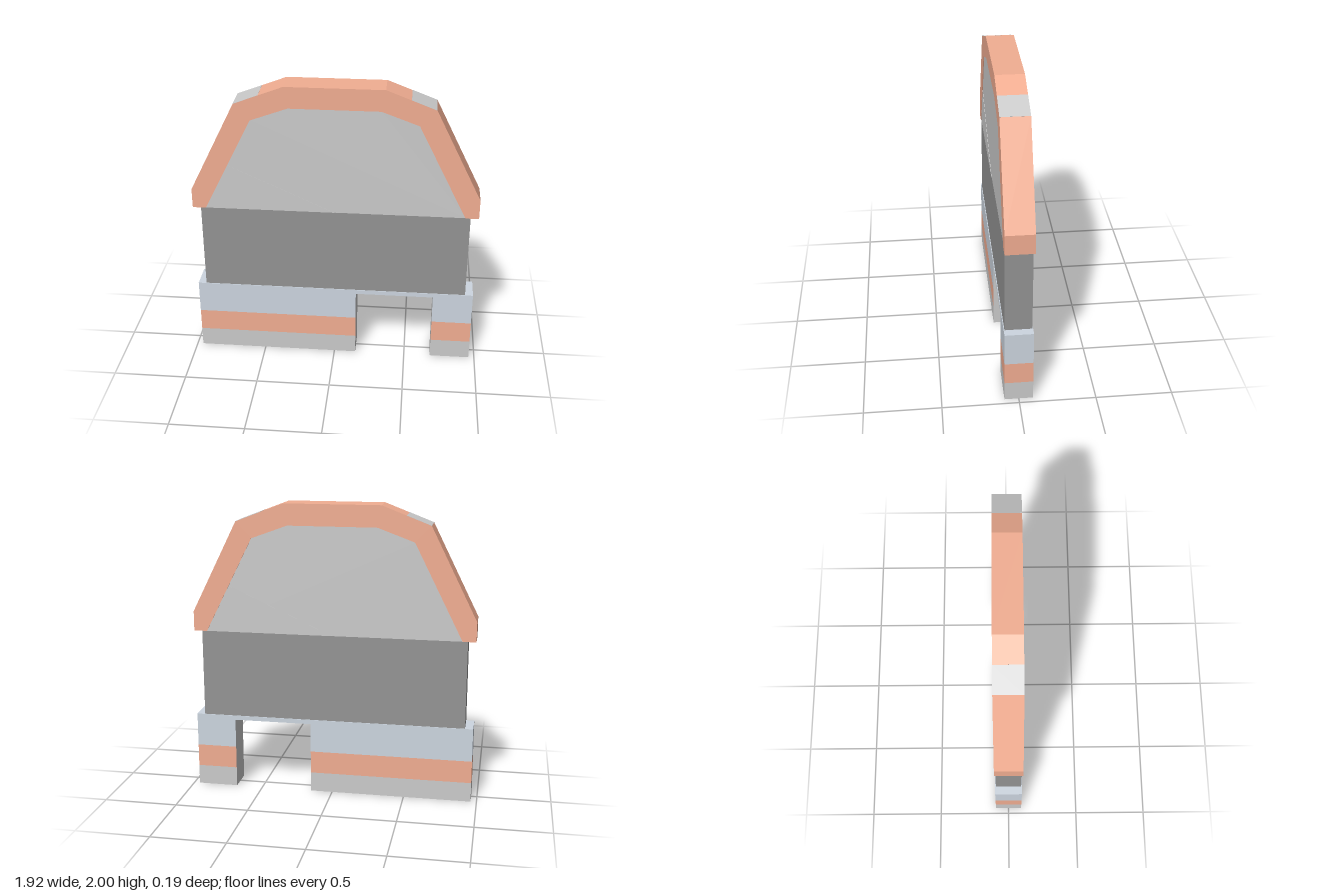
import * as THREE from 'three';

const mat = (color) => new THREE.MeshStandardMaterial({ color });

export function createModel() {
  const model = new THREE.Group();
  const grey = mat(0xcccccc), orange = mat(0xf2ae92), blue = mat(0xcdd6e0), dark = mat(0x949494);
  const HALF = 0.093, INNER = 0.088;

  const add = (name, geometry, material) => {
    const mesh = new THREE.Mesh(geometry, material);
    mesh.name = name;
    model.add(mesh);
    return mesh;
  };
  const block = (name, x0, x1, y0, y1, half, material) =>
    add(name, new THREE.BoxGeometry(x1 - x0, y1 - y0, half * 2), material)
      .position.set((x0 + x1) / 2, (y0 + y1) / 2, 0);
  const slab = (name, points, half, material) => {
    const shape = new THREE.Shape(points.map(([x, y]) => new THREE.Vector2(x, y)));
    const geometry = new THREE.ExtrudeGeometry(shape, { depth: half * 2, bevelEnabled: false });
    return add(name, geometry.translate(0, 0, -half), material);
  };
  // Mirrors a right-hand outline into a full one, running from +x to -x
  const mirrored = (half) => [...half, ...half.map(([x, y]) => [-x, y]).reverse()];

  // Banded base: two piers with plain grey doorway jambs
  const bands = [
    ['baseFoot', 0, 0.135, grey],
    ['baseStripe', 0.135, 0.29, orange],
    ['baseUpper', 0.29, 0.49, blue],
    ['baseTop', 0.49, 0.52, blue],
  ];
  for (const [name, y0, y1, m] of bands) {
    block(name + 'Wide', -0.96, 0.15, y0, y1, HALF, [grey, m, m, m, m, m]);
    block(name + 'Narrow', 0.685, 0.96, y0, y1, HALF, [m, grey, m, m, m, m]);
  }
  // Lintel over the doorway, with a grey underside
  block('doorLintel', 0.15, 0.685, 0.49, 0.52, HALF, [blue, blue, blue, grey, blue, blue]);

  // Dark middle wall
  block('middleWall', -0.905, 0.905, 0.52, 1.12, INNER, dark);

  // Faceted arch trim around a slightly recessed gable panel
  const outer = mirrored([[0.96, 1.12], [0.96, 1.255], [0.65, 1.875], [0.325, 2]]);
  const inner = mirrored([[0.87, 1.12], [0.545, 1.765], [0.3, 1.855]]);
  slab('archTrim', [...outer, ...inner.slice().reverse()], HALF, orange);
  slab('gablePanel', inner, INNER, grey);

  // Fine raised corner on the panel, turned half round on the back
  for (const side of [0, 1]) {
    const shape = new THREE.Shape([[-0.87, 1.12], [0, 1.12], [-0.709, 1.44]]
      .map(([x, y]) => new THREE.Vector2(x, y)));
    const geometry = new THREE.ExtrudeGeometry(shape, { depth: 0.002, bevelEnabled: false });
    geometry.translate(0, 0, INNER);
    add('panelCorner', geometry, grey).rotation.y = side * Math.PI;
  }

  // Grey patches on the lower half of each upper slope
  const run = 0.325, rise = 0.125, angle = Math.atan2(rise, run);
  for (const s of [-1, 1]) {
    const patch = add('slopePatch',
      new THREE.BoxGeometry(Math.hypot(run, rise) / 2, 0.002, HALF * 2), grey);
    patch.position.set(s * (0.65 - run / 4), 1.875 + rise / 4, 0);
    patch.rotation.z = -s * angle;
  }
  return model;
}
